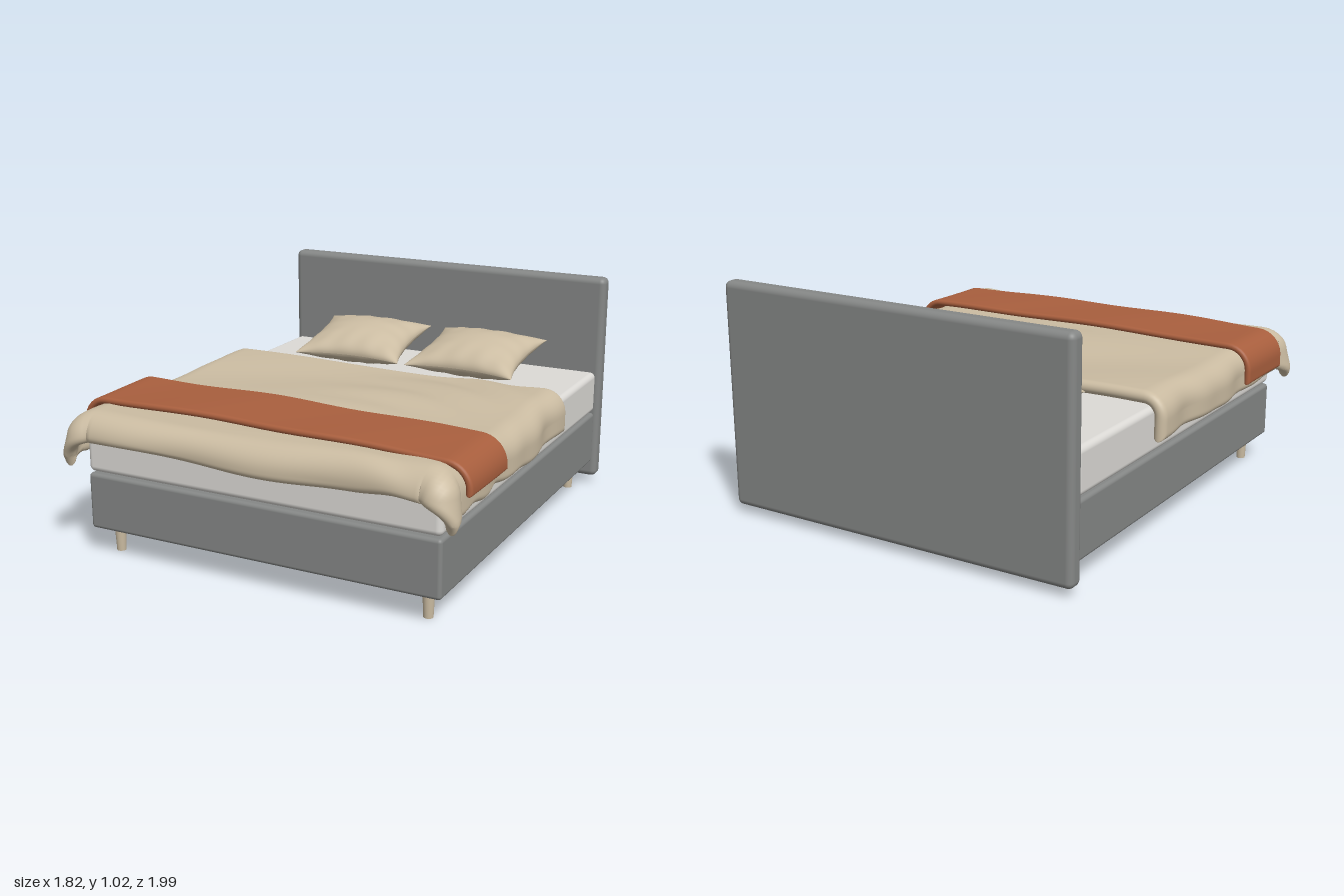
import * as THREE from 'three';
import { mergeVertices } from 'three/addons/utils/BufferGeometryUtils.js';
import { RoundedBoxGeometry } from 'three/addons/geometries/RoundedBoxGeometry.js';

const mat = (name, color) => {
  const m = new THREE.MeshStandardMaterial({ color });
  m.name = name;
  return m;
};

// Closed soft slab: a middle surface mid(u, v) thickened along its normal, u and v in -1..1
function softSlab(nu, nv, mid, half, smoothRim) {
  const pos = [], index = [], e = 1e-3;
  const warp = (i, n) => Math.sin((i / n - 0.5) * Math.PI);
  const count = (nu + 1) * (nv + 1);
  for (const side of [1, -1]) {
    for (let j = 0; j <= nv; j++) {
      for (let i = 0; i <= nu; i++) {
        const u = warp(i, nu), v = warp(j, nv);
        const du = mid(u + e, v).sub(mid(u - e, v));
        const dv = mid(u, v + e).sub(mid(u, v - e));
        const n = dv.cross(du).normalize();
        const rim = i === 0 || j === 0 || i === nu || j === nv;
        const p = mid(u, v).addScaledVector(n, rim ? 0 : side * half(u, v));
        pos.push(p.x, p.y, p.z);
      }
    }
    const base = side > 0 ? 0 : count;
    for (let j = 0; j < nv; j++) {
      for (let i = 0; i < nu; i++) {
        const a = base + j * (nu + 1) + i, b = a + 1, c = a + nu + 1, d = c + 1;
        if (side > 0) index.push(a, c, b, b, c, d);
        else index.push(a, b, c, b, d, c);
      }
    }
  }
  let g = new THREE.BufferGeometry();
  g.setAttribute('position', new THREE.Float32BufferAttribute(pos, 3));
  g.setIndex(index);
  if (smoothRim) g = mergeVertices(g, 1e-5);
  g.computeVertexNormals();
  return g;
}

// Cloth bending over an edge: returns [outward, downward] for a length past the bend start
function bend(len, r) {
  const q = r * Math.PI / 2;
  return len < q ? [r * Math.sin(len / r), r * (1 - Math.cos(len / r))] : [r, r + len - q];
}

// Rounded hem: thickness falls to zero within 'width' of the border
function hem(thick, width, su, sv) {
  return (u, v) => {
    const d = Math.min((1 - Math.abs(u)) * su, (1 - Math.abs(v)) * sv, width);
    const k = 1 - d / width;
    return thick * Math.sqrt(Math.max(0, 1 - k * k));
  };
}

// Duvet draped over both sides and the foot, with fuller corners
function duvetMid(u, v) {
  const xin = 0.772, zin = 0.865, r = 0.07;
  const s = u * 0.977;
  let t = 0.33 + v * 0.68;
  t += 0.012 * Math.sin(s * 4 + 1) * (v < 0 ? v * 0.7 : v);
  const a = Math.max(0, Math.abs(s) - xin), b = Math.max(0, t - zin);
  const len = Math.hypot(a, b);
  let [out, down] = bend(len, r);
  const ca = len ? a / len : 0, cb = len ? b / len : 0;
  out *= 1 + 2 * ca * cb * Math.min(1, len / 0.2);
  const x = Math.sign(s) * (Math.min(Math.abs(s), xin) + out * ca);
  const z = Math.min(t, zin) + out * cb;
  const right = THREE.MathUtils.smoothstep(s, -0.4, 0.5);
  const creases = 0.0065 * right * Math.sin(26 * t - 9 * s + 2 * Math.sin(5 * s))
    * (0.6 + 0.4 * Math.sin(6 * s + 3 * t));
  const swell = 0.005 * Math.sin(5 * s + 2 * Math.sin(4 * t)) + 0.004 * Math.sin(7 * t + 3 * s);
  const lift = 0.012 * THREE.MathUtils.smoothstep(t, 0.5, 0.85);
  const ripple = 0.009 * Math.min(1, len / 0.12);
  return new THREE.Vector3(
    x + Math.sign(s) * ca * ripple * (Math.sin(11 * t) + 0.5 * Math.sin(23 * t + 1)),
    0.598 - down + creases + swell + lift,
    z + cb * ripple * Math.sin(9 * s + 1));
}

// Throw blanket laid slightly askew across the foot
function throwMid(u, v) {
  const xin = 0.8, r = 0.098;
  const s = u < 0 ? u * 1.012 : u * 0.978;
  const a = Math.max(0, Math.abs(s) - xin);
  const [out, down] = bend(a, r);
  const x = Math.sign(s) * (Math.min(Math.abs(s), xin) + out) - 0.004;
  const z = 0.618 + 0.027 * s + v * 0.184 + 0.004 * Math.sin(9 * s);
  const y = 0.651 - down + 0.008 * Math.cos(s * 2.5 + 0.4) + 0.003 * Math.sin(8 * s + 6 * z);
  return new THREE.Vector3(x, y, z);
}

// Pillow from its four corners [x, z]: back left, back right, front left, front right
function pillowGeometry(corners) {
  const [bl, br, fl, fr] = corners;
  const mid = (u, v) => {
    const pu = u * (1 - 0.13 * (1 - v * v)), pv = v * (1 - 0.15 * (1 - u * u));
    const at = k => THREE.MathUtils.lerp(
      THREE.MathUtils.lerp(bl[k], br[k], (pu + 1) / 2),
      THREE.MathUtils.lerp(fl[k], fr[k], (pu + 1) / 2), (pv + 1) / 2);
    return new THREE.Vector3(at(0), 0.662 - 0.045 * pv, at(1));
  };
  const half = (u, v) => {
    const body = Math.max(0, (1 - u * u) * (1 - v * v));
    const tuck = 1 + 0.06 * Math.sin(14 * u + 4 * v) * v * v + 0.06 * Math.sin(13 * v - 3 * u) * u * u;
    return 0.09 * Math.pow(body, 0.5) * tuck;
  };
  return softSlab(36, 36, mid, half, false);
}

export function createModel() {
  const bed = new THREE.Group();
  bed.name = 'bed';
  const grey = mat('grey upholstery', 0x858786);
  const white = mat('mattress white', 0xdcdad6);
  const beige = mat('beige linen', 0xcbbca2);
  const rust = mat('rust wool', 0xa95f3e);

  const add = (name, geometry, material, x = 0, y = 0, z = 0) => {
    const m = new THREE.Mesh(geometry, material);
    m.name = name;
    m.position.set(x, y, z);
    bed.add(m);
  };

  // Frame and mattress
  add('headboard', new RoundedBoxGeometry(1.67, 0.985, 0.08, 5, 0.028), grey, 0.005, 0.5275, -0.96);
  add('base', new RoundedBoxGeometry(1.63, 0.248, 1.82, 4, 0.016), grey, 0.005, 0.239, -0.01);
  add('mattress', new RoundedBoxGeometry(1.63, 0.197, 1.82, 5, 0.026), white, 0.005, 0.4685, -0.01);

  // Tapered legs
  for (const x of [-0.722, 0.734]) {
    for (const z of [-0.825, 0.815]) {
      add('leg', new THREE.CylinderGeometry(0.026, 0.02, 0.125, 24), beige, x, 0.0625, z);
    }
  }

  // Bedding
  add('duvet', softSlab(110, 100, duvetMid, hem(0.028, 0.03, 0.977, 0.68), true), beige);
  add('throwBlanket', softSlab(90, 36, throwMid, hem(0.014, 0.012, 1, 0.184), true), rust);
  add('leftPillow', pillowGeometry([[0.04, -0.885], [0.583, -0.87], [0.022, -0.447], [0.572, -0.428]]), beige);
  add('rightPillow', pillowGeometry([[-0.578, -0.862], [-0.035, -0.888], [-0.555, -0.42], [-0.013, -0.447]]), beige);
  return bed;
}
